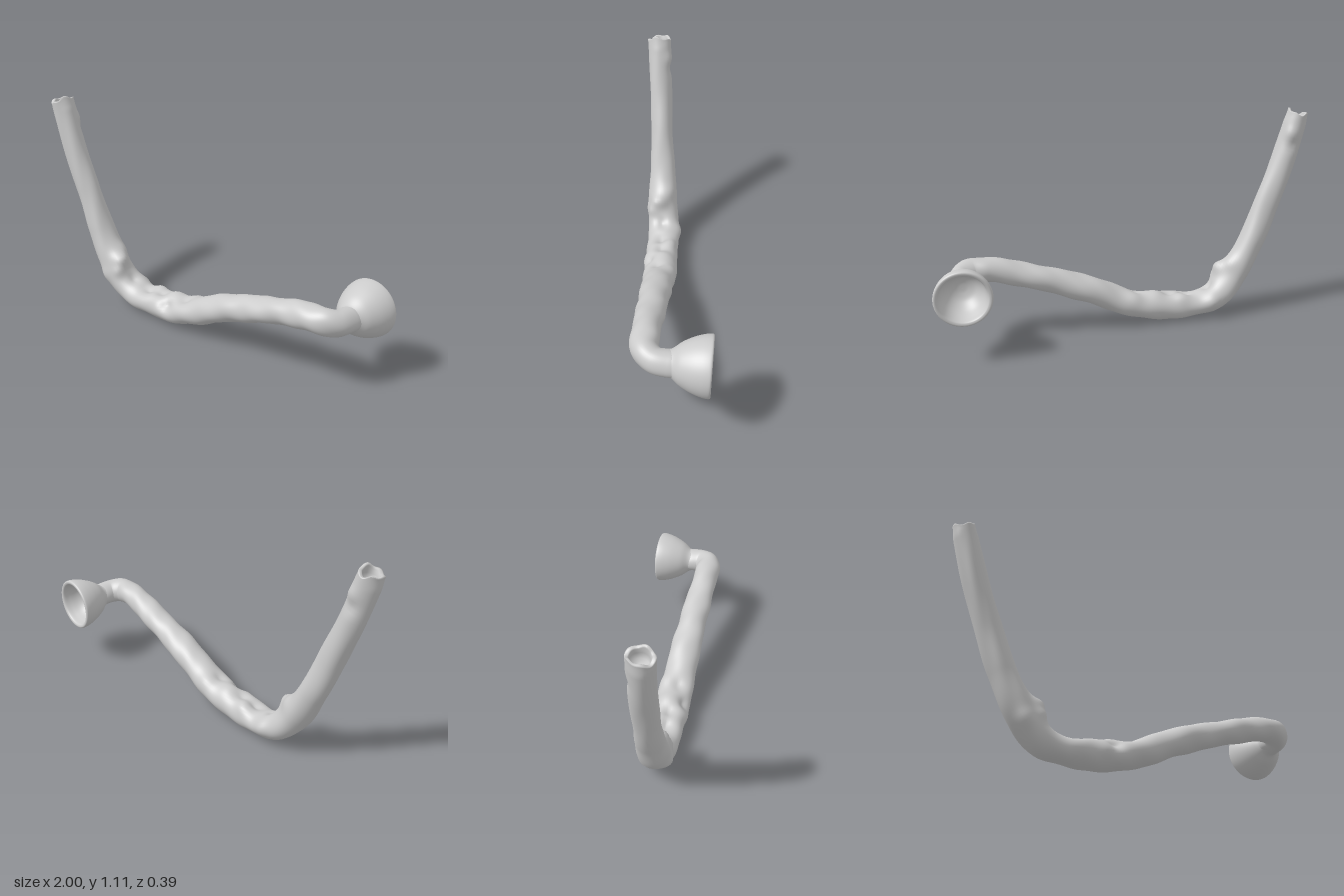
import * as THREE from 'three';

// Stem stations: x, y, z, half-thickness in the bend plane, half-thickness sideways
const STATIONS = [
  [-0.943, 1.09, 0.131, 0.053, 0.063],
  [-0.925, 1.02, 0.127, 0.060, 0.062],
  [-0.858, 0.80, 0.120, 0.064, 0.060],
  [-0.782, 0.60, 0.113, 0.066, 0.062],
  [-0.698, 0.40, 0.107, 0.067, 0.071],
  [-0.610, 0.235, 0.102, 0.076, 0.080],
  [-0.510, 0.120, 0.096, 0.074, 0.086],
  [-0.400, 0.080, 0.094, 0.064, 0.086],
  [-0.280, 0.084, 0.093, 0.076, 0.086],
  [-0.150, 0.092, 0.093, 0.074, 0.090],
  [0.000, 0.128, 0.095, 0.067, 0.086],
  [0.200, 0.220, 0.098, 0.070, 0.080],
  [0.400, 0.290, 0.104, 0.064, 0.074],
  [0.600, 0.350, 0.112, 0.062, 0.069],
  [0.720, 0.375, 0.117, 0.064, 0.067],
  [0.800, 0.374, 0.109, 0.066, 0.063],
  [0.846, 0.365, 0.065, 0.064, 0.062],
  [0.856, 0.361, 0.005, 0.062, 0.066],
  [0.857, 0.357, -0.040, 0.060, 0.066],
];

// Knots (positive) and hollows (negative): x, y, z, spread, height
const KNOTS = [
  [-0.520, 0.265, 0.125, 0.042, 0.042],
  [-0.505, 0.215, 0.165, 0.032, 0.025],
  [-0.570, 0.300, 0.070, 0.045, 0.014],
  [-0.460, 0.110, 0.000, 0.045, 0.022],
  [-0.455, 0.165, 0.100, 0.032, -0.022],
  [-0.600, 0.170, 0.180, 0.045, 0.012],
  [-0.330, 0.160, 0.105, 0.045, -0.028],
  [-0.240, 0.165, 0.100, 0.040, -0.026],
  [-0.300, 0.160, 0.035, 0.045, 0.014],
  [-0.150, 0.130, 0.165, 0.035, -0.022],
  [-0.160, 0.165, 0.080, 0.045, 0.010],
  [-0.060, 0.175, 0.110, 0.035, -0.016],
  [-0.030, 0.170, 0.040, 0.050, 0.014],
  [-0.200, 0.090, 0.185, 0.045, 0.010],
  [-0.900, 0.930, 0.060, 0.035, -0.012],
  [-0.880, 0.990, 0.070, 0.035, 0.008],
];

function stemGeometry() {
  const SIDES = 40, RINGS = 220;
  const path = new THREE.CatmullRomCurve3(STATIONS.map(s => new THREE.Vector3(s[0], s[1], s[2])));
  const radii = new THREE.CatmullRomCurve3(STATIONS.map(s => new THREE.Vector3(s[3], s[4], 0)), false, 'catmullrom');
  // section width must follow the same parameter as the path
  const widthAt = t => {
    const k = t * (STATIONS.length - 1), i = Math.min(Math.floor(k), STATIONS.length - 2);
    return [3, 4].map(c => THREE.MathUtils.lerp(STATIONS[i][c], STATIONS[i + 1][c],
      THREE.MathUtils.smoothstep(k - i, 0, 1)));
  };
  // inner rings of the hollow mouth, then the outer skin
  const rings = [[0.05, 0.05], [0.05, 0.6], [0.025, 0.68], [0.004, 0.72], [0, 0.8], [0, 0.93]];
  for (let i = 0; i <= RINGS; i++) rings.push([i / RINGS, 1]);

  const pos = [], index = [], up = new THREE.Vector3(1, 0.3, 0);
  const dir = new THREE.Vector3(), p = new THREE.Vector3();
  rings.forEach(([t, scale], r) => {
    const c = path.getPoint(t), T = path.getTangent(t);
    up.addScaledVector(T, -up.dot(T)).normalize();
    const side = new THREE.Vector3().crossVectors(T, up);
    const [ru, rs] = widthAt(t);
    for (let j = 0; j < SIDES; j++) {
      const a = j / SIDES * Math.PI * 2;
      dir.set(0, 0, 0).addScaledVector(up, Math.cos(a) * ru).addScaledVector(side, Math.sin(a) * rs);
      p.copy(c).addScaledVector(dir, scale);
      // ragged mouth edge
      const edge = Math.max(0, 1 - t / 0.03);
      p.addScaledVector(T, -edge * (0.009 * Math.cos(2 * a - 0.6) + 0.005 * Math.sin(5 * a)));
      if (scale === 1) {
        dir.normalize();
        let h = 0.002 * Math.sin(p.x * 23 + 2 * a) + 0.0015 * Math.sin(p.x * 41 - 3 * a);
        for (const [x, y, z, s, k] of KNOTS) {
          const d2 = (p.x - x) ** 2 + (p.y - y) ** 2 + (p.z - z) ** 2;
          h += k * Math.exp(-d2 / (s * s));
        }
        p.addScaledVector(dir, h);
      }
      pos.push(p.x, p.y, p.z);
      if (r > 0) {
        const j2 = (j + 1) % SIDES, A = (r - 1) * SIDES, B = r * SIDES;
        index.push(A + j, A + j2, B + j, A + j2, B + j2, B + j);
      }
    }
  });
  const geo = new THREE.BufferGeometry();
  geo.setAttribute('position', new THREE.Float32BufferAttribute(pos, 3));
  geo.setIndex(index);
  geo.computeVertexNormals();
  return geo;
}

export function createModel() {
  const group = new THREE.Group();
  const material = new THREE.MeshStandardMaterial({ color: 0xcccccc, side: THREE.DoubleSide });

  // Bent, knotted stem with a hollow mouth
  const stem = new THREE.Mesh(stemGeometry(), material);
  stem.name = 'stem';
  group.add(stem);

  // Flared cup: outer wall, rounded rim, inner bowl
  const outer = new THREE.SplineCurve([
    [0.058, -0.02], [0.065, 0.01], [0.096, 0.05], [0.122, 0.10], [0.137, 0.145],
    [0.142, 0.178], [0.138, 0.189], [0.128, 0.190], [0.119, 0.182],
    [0.112, 0.15], [0.097, 0.105], [0.066, 0.065], [0.03, 0.048], [0, 0.045],
  ].map(([x, y]) => new THREE.Vector2(x, y)));
  const profile = outer.getPoints(70).map(v => new THREE.Vector2(Math.max(v.x, 0), v.y));
  const cup = new THREE.Mesh(new THREE.LatheGeometry(profile, 56), material);
  cup.name = 'cup';
  cup.rotation.x = -Math.PI / 2;
  const cupHolder = new THREE.Group();
  cupHolder.name = 'cupHolder';
  cupHolder.add(cup);
  cupHolder.position.set(0.852, 0.358, 0);
  cupHolder.rotation.set(-0.03, -0.05, 0);
  group.add(cupHolder);

  return group;
}
